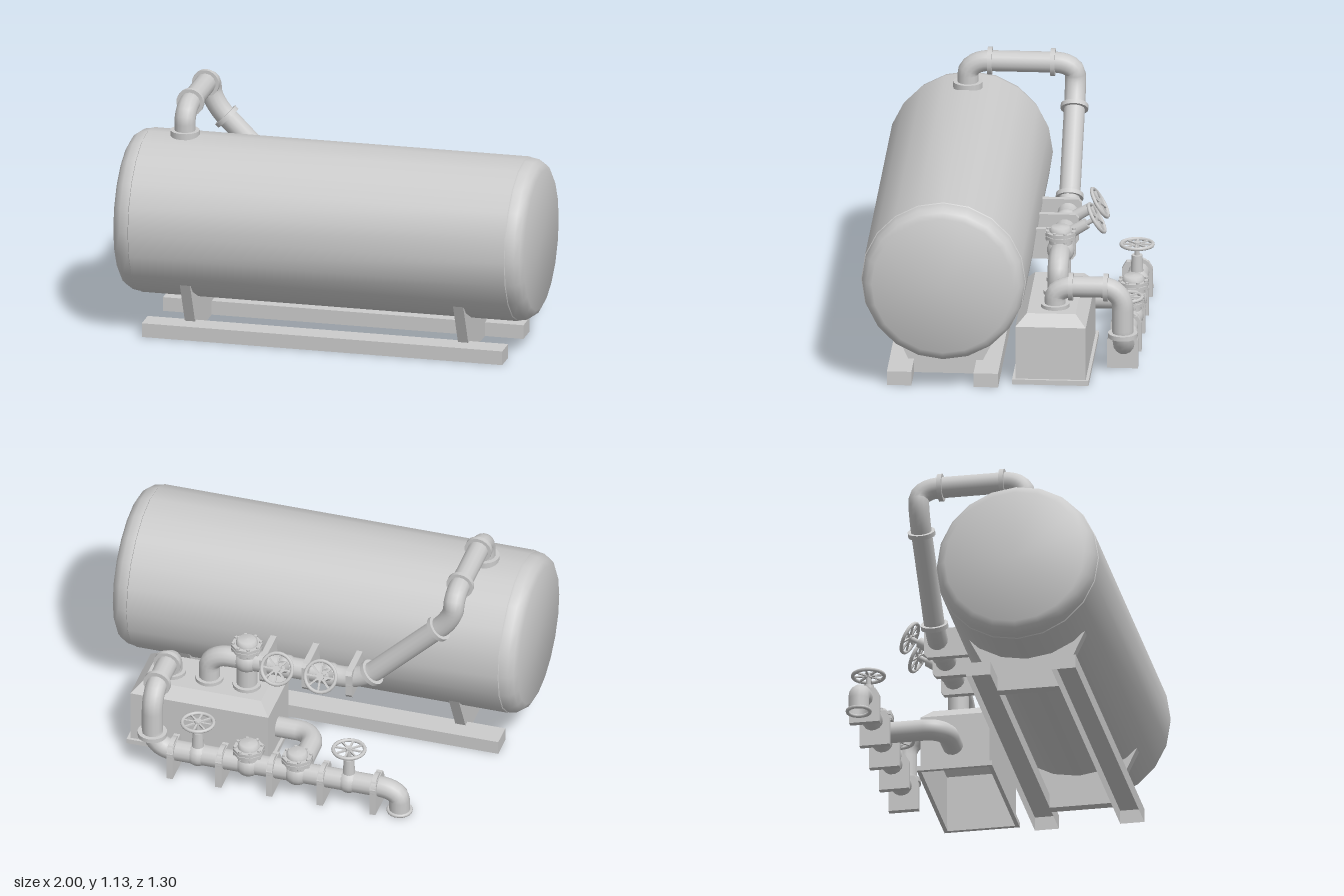
import * as THREE from 'three';
import { toCreasedNormals } from 'three/addons/utils/BufferGeometryUtils.js';

const mat = new THREE.MeshStandardMaterial({ color: 0xcccccc, side: THREE.DoubleSide });
const V = (x, y, z) => new THREE.Vector3(x, y, z);
const UP = V(0, 1, 0);

function add(parent, name, geo, x = 0, y = 0, z = 0) {
  const m = new THREE.Mesh(geo, mat);
  m.name = name;
  m.position.set(x, y, z);
  parent.add(m);
  return m;
}

// Box without the listed faces (order: +x, -x, +y, -y, +z, -z)
function openBox(w, h, d, dropped) {
  const g = new THREE.BoxGeometry(w, h, d);
  g.setIndex(Array.from(g.index.array).filter((_, i) => !dropped.includes(Math.floor(i / 6))));
  return g;
}

// Flat plate with a (z, y) outline, centred on x
function plate(parent, name, outline, x, thickness) {
  const shape = new THREE.Shape(outline.map(([z, y]) => new THREE.Vector2(-z, y)));
  const g = new THREE.ExtrudeGeometry(shape, { depth: thickness, bevelEnabled: false });
  g.translate(0, 0, -thickness / 2).rotateY(Math.PI / 2);
  return add(parent, name, g, x);
}

// Pipe through corner points, each corner rounded to an elbow
function pipe(parent, name, pts, bend, r = 0.05) {
  const path = new THREE.CurvePath();
  let from = pts[0];
  for (let i = 1; i < pts.length - 1; i++) {
    const p = pts[i];
    const cut = (q) => p.clone().add(q.clone().sub(p).setLength(Math.min(bend, q.distanceTo(p) * 0.48)));
    const a = cut(pts[i - 1]), b = cut(pts[i + 1]);
    path.add(new THREE.LineCurve3(from, a));
    // Control points pulled toward the corner follow a circular arc
    path.add(new THREE.CubicBezierCurve3(a, a.clone().lerp(p, 0.56), b.clone().lerp(p, 0.56), b));
    from = b;
  }
  path.add(new THREE.LineCurve3(from, pts[pts.length - 1]));
  return add(parent, name, new THREE.TubeGeometry(path, 96, r, 14), 0, 0, 0);
}

// Flange disc around a pipe
function flange(parent, p, dir, r = 0.066, t = 0.022) {
  const m = add(parent, 'flange', new THREE.CylinderGeometry(r, r, t, 18), p.x, p.y, p.z);
  m.quaternion.setFromUnitVectors(UP, dir.clone().normalize());
}

// Valve with stem and spoked handwheel, pointing up +y from the pipe centre
function wheelValve(parent, p, tilt) {
  const g = new THREE.Group();
  g.name = 'handwheelValve';
  g.position.copy(p);
  g.rotation.x = tilt;
  add(g, 'valveBody', new THREE.SphereGeometry(0.058, 14, 10));
  add(g, 'bonnet', new THREE.CylinderGeometry(0.026, 0.03, 0.09, 12), 0, 0.085, 0);
  add(g, 'stem', new THREE.CylinderGeometry(0.012, 0.012, 0.1, 8), 0, 0.145, 0);
  add(g, 'wheelRim', new THREE.TorusGeometry(0.075, 0.009, 8, 24).rotateX(Math.PI / 2), 0, 0.183, 0);
  add(g, 'wheelHub', new THREE.CylinderGeometry(0.018, 0.018, 0.022, 12), 0, 0.183, 0);
  for (let i = 0; i < 4; i++) {
    add(g, 'wheelSpoke', new THREE.BoxGeometry(0.15, 0.008, 0.009), 0, 0.183, 0).rotation.y = i * Math.PI / 4;
  }
  parent.add(g);
}

// Check valve: round body, bolted octagonal cover and domed cap
function boltedValve(parent, p) {
  const g = new THREE.Group();
  g.name = 'boltedValve';
  g.position.copy(p);
  add(g, 'valveBody', new THREE.SphereGeometry(0.065, 16, 12));
  add(g, 'valveNeck', new THREE.CylinderGeometry(0.055, 0.055, 0.07, 16), 0, 0.035, 0);
  for (const y of [0.068, 0.086]) {
    add(g, 'coverFlange', new THREE.CylinderGeometry(0.075, 0.075, 0.015, 8).rotateY(Math.PI / 8), 0, y, 0);
  }
  const dome = [[0.052, 0.09], [0.052, 0.105], [0.042, 0.118], [0, 0.122]].map(([r, y]) => new THREE.Vector2(r, y));
  add(g, 'cap', new THREE.LatheGeometry(dome, 16));
  for (let i = 0; i < 8; i++) {
    const a = (i + 0.5) * Math.PI / 4;
    add(g, 'bolt', new THREE.CylinderGeometry(0.008, 0.008, 0.05, 6), 0.065 * Math.cos(a), 0.077, 0.065 * Math.sin(a));
  }
  parent.add(g);
}

export function createModel() {
  const model = new THREE.Group();
  model.name = 'tankWithPump';
  const X = V(1, 0, 0), Z = V(0, 0, 1);

  // Tank: mirrored lathe profile laid along x
  const half = [[0, 1], [0.335, 1], [0.362, 0.985], [0.38, 0.96], [0.386, 0.925], [0.386, 0.918], [0.39, 0.915]];
  const profile = [...half.map(([r, x]) => [r, -x]), ...half.slice().reverse()].map(([r, x]) => new THREE.Vector2(r, x));
  const tank = new THREE.LatheGeometry(profile, 20).rotateZ(-Math.PI / 2);
  add(model, 'tank', toCreasedNormals(tank, 0.65), 0, 0.545, 0.26);

  // Skid rails, open underneath, and saddles
  for (const z of [0.473, 0.063]) {
    add(model, 'skidRail', openBox(1.755, 0.068, 0.116, [3]), 0, 0.034, z);
  }
  for (const x of [-0.665, 0.665]) {
    plate(model, 'saddle', [[0.415, 0], [0.415, 0.068], [0.443, 0.068], [0.54, 0.275], [0.4, 0.19],
      [0.26, 0.165], [0.12, 0.19], [-0.015, 0.275], [0.09, 0.068], [0.12, 0.068], [0.12, 0]], x, 0.05);
  }

  // Pump housing: hollow box with sloped top and foot rim
  const housing = new THREE.Group();
  housing.name = 'pumpHousing';
  housing.position.set(0.473, 0, -0.239);
  add(housing, 'housingWalls', openBox(0.68, 0.283, 0.333, [2, 3]), 0, 0.1415, 0);
  const hood = openBox(0.68, 0.052, 0.333, [3]);
  const hp = hood.attributes.position;
  for (let i = 0; i < hp.count; i++) {
    if (hp.getY(i) > 0) {
      hp.setX(i, hp.getX(i) - Math.sign(hp.getX(i)) * 0.051);
      hp.setZ(i, hp.getZ(i) - Math.sign(hp.getZ(i)) * 0.051);
    }
  }
  hood.computeVertexNormals();
  add(housing, 'housingTop', hood, 0, 0.309, 0);
  const rect = (C, w, d) => new C([[-w, -d], [w, -d], [w, d], [-w, d]].map(([x, y]) => new THREE.Vector2(x, y)));
  const rim = rect(THREE.Shape, 0.355, 0.181);
  rim.holes.push(rect(THREE.Path, 0.335, 0.162));
  add(housing, 'footRim', new THREE.ExtrudeGeometry(rim, { depth: 0.024, bevelEnabled: false }).rotateX(-Math.PI / 2));
  model.add(housing);

  // Upper pipe: tank top, over the back, down at 45 degrees, along to the pump
  const uz = -0.25, uy = 0.485;
  pipe(model, 'upperPipe', [V(-0.735, 0.92, 0.26), V(-0.735, 1.06, 0.26), V(-0.735, 1.06, uz), V(-0.735, 0.94, uz),
    V(-0.28, uy, uz), V(0.47, uy, uz), V(0.47, 0.33, uz)], 0.1);
  flange(model, V(-0.735, 0.94, 0.26), UP, 0.07, 0.03);
  flange(model, V(-0.735, 1.06, 0.155), Z);
  flange(model, V(-0.735, 1.06, -0.143), Z);
  flange(model, V(-0.66, 0.865, uz), V(1, -1, 0));
  flange(model, V(-0.33, 0.535, uz), V(1, -1, 0));
  for (const x of [-0.235, -0.02, 0.19]) {
    flange(model, V(x, uy, uz), X);
    plate(model, 'pipeBracket', [[-0.1, 0.41], [-0.3, 0.41], [-0.315, 0.43], [-0.315, 0.54], [-0.3, 0.558], [-0.12, 0.558]], x, 0.03);
  }
  for (const x of [-0.125, 0.09]) wheelValve(model, V(x, uy, uz), -1.03);
  boltedValve(model, V(0.285, uy, uz));
  pipe(model, 'valveDropPipe', [V(0.285, uy, uz), V(0.285, 0.33, uz)], 0.1);
  for (const x of [0.285, 0.47, 0.655]) flange(model, V(x, 0.342, uz), UP, 0.068, 0.02);

  // Lower pipe: pump top, out to the back, down and along the ground
  const lz = -0.57, ly = 0.125;
  pipe(model, 'lowerPipe', [V(0.655, 0.33, uz), V(0.655, 0.435, uz), V(0.655, 0.435, lz), V(0.655, ly, lz),
    V(-0.565, ly, lz), V(-0.565, 0.01, lz)], 0.1);
  flange(model, V(0.655, 0.435, -0.325), Z);
  flange(model, V(0.655, 0.435, -0.49), Z);
  flange(model, V(0.655, 0.2, lz), UP, 0.07);
  const lip = add(model, 'outletLip', new THREE.TorusGeometry(0.054, 0.009, 8, 18), -0.565, 0.01, lz);
  lip.rotation.x = Math.PI / 2;
  for (const x of [-0.45, -0.19, 0.06, 0.31, 0.55]) {
    flange(model, V(x, ly, lz), X);
    plate(model, 'pipeStand', [[-0.49, 0], [-0.635, 0], [-0.635, 0.14], [-0.615, 0.175], [-0.51, 0.175], [-0.49, 0.14]], x, 0.03);
  }
  for (const x of [-0.315, 0.43]) wheelValve(model, V(x, ly, lz), 0);
  for (const x of [-0.06, 0.18]) boltedValve(model, V(x, ly, lz));

  // Branch from the lower line into the side of the pump housing
  pipe(model, 'branchPipe', [V(-0.06, ly, lz), V(-0.06, ly, uz), V(0.14, ly, uz)], 0.1);
  return model;
}
